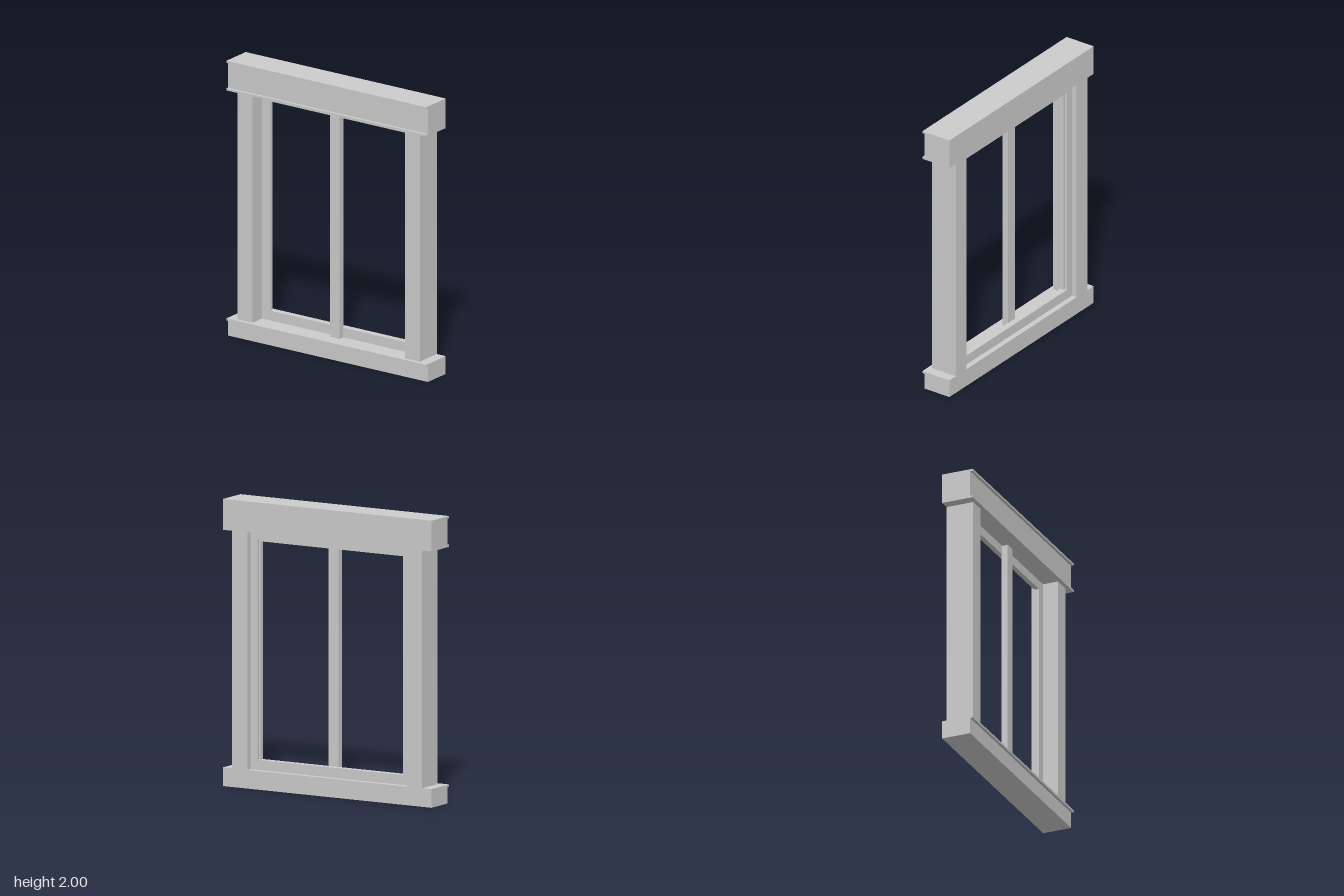
import * as THREE from 'three';

const material = new THREE.MeshStandardMaterial({ color: 0xcccccc, flatShading: true });
const HALF = 0.845; // half width of header and sill
const BACK = -0.115;
const BODY = 0.095; // front of header and sill bodies
const LIP = 0.115; // front of the thin lips
const SILL_TOP = 0.13;
const HEAD_BOTTOM = 1.785;

function add(group, name, geometry) {
  const mesh = new THREE.Mesh(geometry, material);
  mesh.name = name;
  group.add(mesh);
}

// Box from its min and max on each axis
function box(x0, x1, y0, y1, z0, z1) {
  return new THREE.BoxGeometry(x1 - x0, y1 - y0, z1 - z0)
    .translate((x0 + x1) / 2, (y0 + y1) / 2, (z0 + z1) / 2);
}

// Runs a [z, y] cross-section along the full width
function moulding(profile) {
  const shape = new THREE.Shape(profile.map(([z, y]) => new THREE.Vector2(z, y)));
  return new THREE.ExtrudeGeometry(shape, { depth: HALF * 2, bevelEnabled: false })
    .translate(0, 0, -HALF)
    .rotateY(-Math.PI / 2);
}

function rectangle(Type, halfWidth, y0, y1) {
  return new Type([[-halfWidth, y0], [halfWidth, y0], [halfWidth, y1], [-halfWidth, y1]]
    .map(([x, y]) => new THREE.Vector2(x, y)));
}

// Rectangular ring between z0 and z1 around an opening
function ring(openHalf, openBottom, openTop, z0, z1) {
  const shape = rectangle(THREE.Shape, 0.645, SILL_TOP, HEAD_BOTTOM);
  shape.holes.push(rectangle(THREE.Path, openHalf, openBottom, openTop));
  return new THREE.ExtrudeGeometry(shape, { depth: z1 - z0, bevelEnabled: false })
    .translate(0, 0, z0);
}

export function createModel() {
  const group = new THREE.Group();
  group.name = 'windowFrame';

  // Sill with one lip along its top front edge
  add(group, 'sill', moulding([
    [BACK, 0], [BODY, 0], [BODY, 0.115], [LIP, 0.115], [LIP, SILL_TOP], [BACK, SILL_TOP],
  ]));

  // Header with lips at bottom and top
  add(group, 'header', moulding([
    [BACK, HEAD_BOTTOM], [LIP, HEAD_BOTTOM], [LIP, 1.8], [BODY, 1.8],
    [BODY, 1.985], [LIP, 1.985], [LIP, 2], [BACK, 2],
  ]));

  // Side posts
  add(group, 'leftPost', box(0.645, 0.77, SILL_TOP, HEAD_BOTTOM, BACK, 0.085));
  add(group, 'rightPost', box(-0.77, -0.645, SILL_TOP, HEAD_BOTTOM, BACK, 0.085));

  // Sash frame, with a shallow rebate at the back
  add(group, 'sashFrame', ring(0.575, 0.2, 1.72, -0.055, -0.027));
  add(group, 'sashRebate', ring(0.59, 0.2, 1.735, -0.075, -0.055));

  // Centre mullion, standing just proud of the sash
  add(group, 'mullion', box(-0.04, 0.04, SILL_TOP, HEAD_BOTTOM, -0.03, 0.016));

  return group;
}
